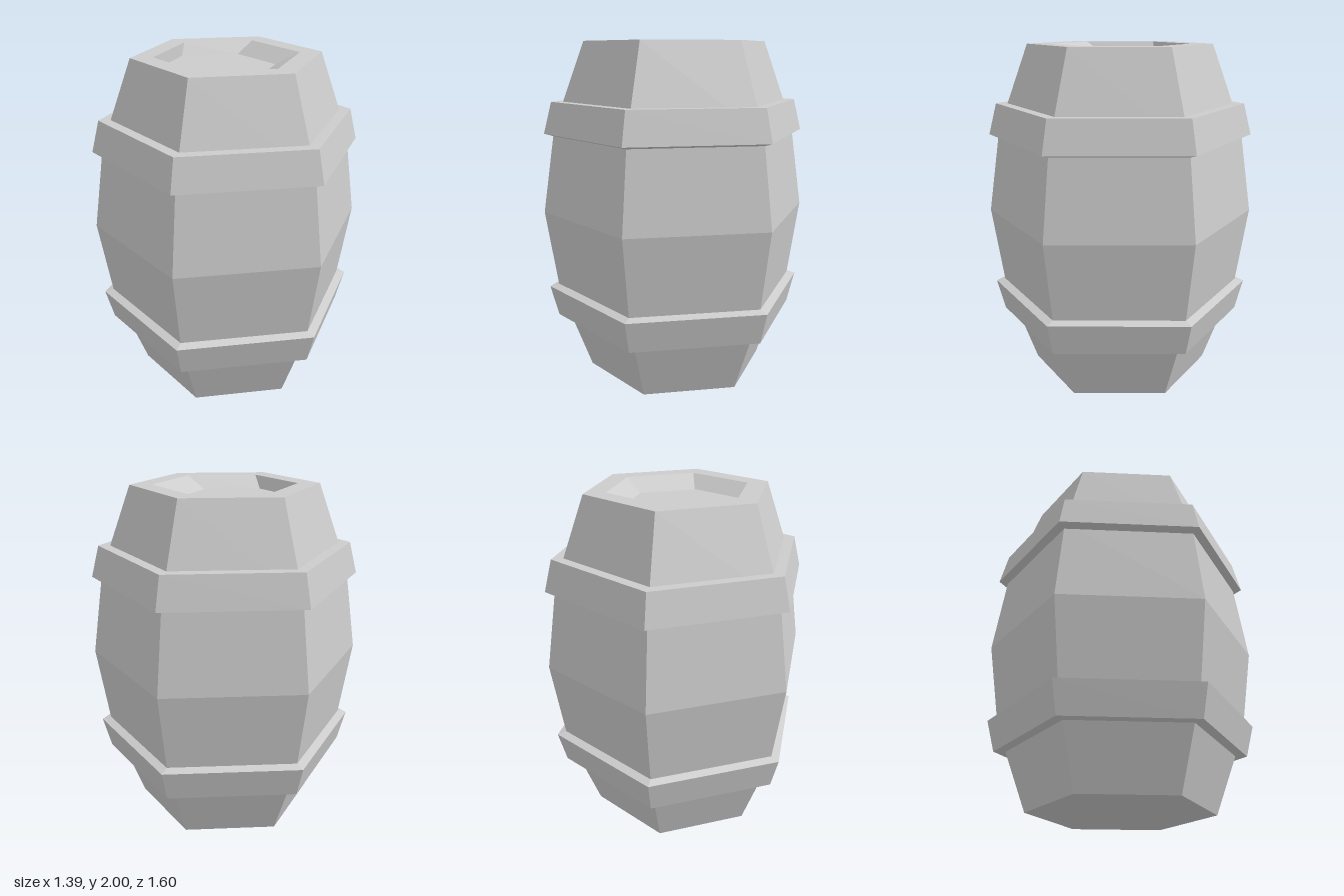
import * as THREE from 'three';

const material = new THREE.MeshStandardMaterial({ color: 0xcccccc, flatShading: true });
const SIDES = 6;

// Six-sided turned part from [radius, height] pairs, with corners on the z axis
function turned(name, profile) {
  const points = profile.map(([r, y]) => new THREE.Vector2(r, y));
  const mesh = new THREE.Mesh(new THREE.LatheGeometry(points, SIDES), material);
  mesh.name = name;
  return mesh;
}

export function createModel() {
  const barrel = new THREE.Group();
  barrel.name = 'barrel';

  // Bulging staves with closed bottom and flat top rim
  const rim = 0.413;
  barrel.add(turned('staves', [
    [0, 0], [0.54, 0], [0.725, 0.5], [0.8, 1], [0.725, 1.5], [0.54, 2], [rim, 2],
  ]));

  // Sunken lid: sloping wall and floor, the floor set slightly off centre
  const depth = 0.07;
  const lid = turned('sunkenLid', [[rim, 2], [0.337, 2 - depth], [0, 2 - depth]]);
  const pos = lid.geometry.attributes.position;
  for (let i = 0; i < pos.count; i++) {
    if (pos.getY(i) < 1.99) {
      pos.setX(i, pos.getX(i) - 0.035);
      pos.setZ(i, pos.getZ(i) - 0.052);
    }
  }
  lid.geometry.computeVertexNormals();
  barrel.add(lid);

  // Flared hoops, mirrored about mid height
  const hoop = [[0.665, 0.345], [0.737, 0.345], [0.785, 0.53], [0.73, 0.545]];
  barrel.add(turned('lowerHoop', hoop));
  barrel.add(turned('upperHoop', hoop.map(([r, y]) => [r, 2 - y]).reverse()));

  return barrel;
}
